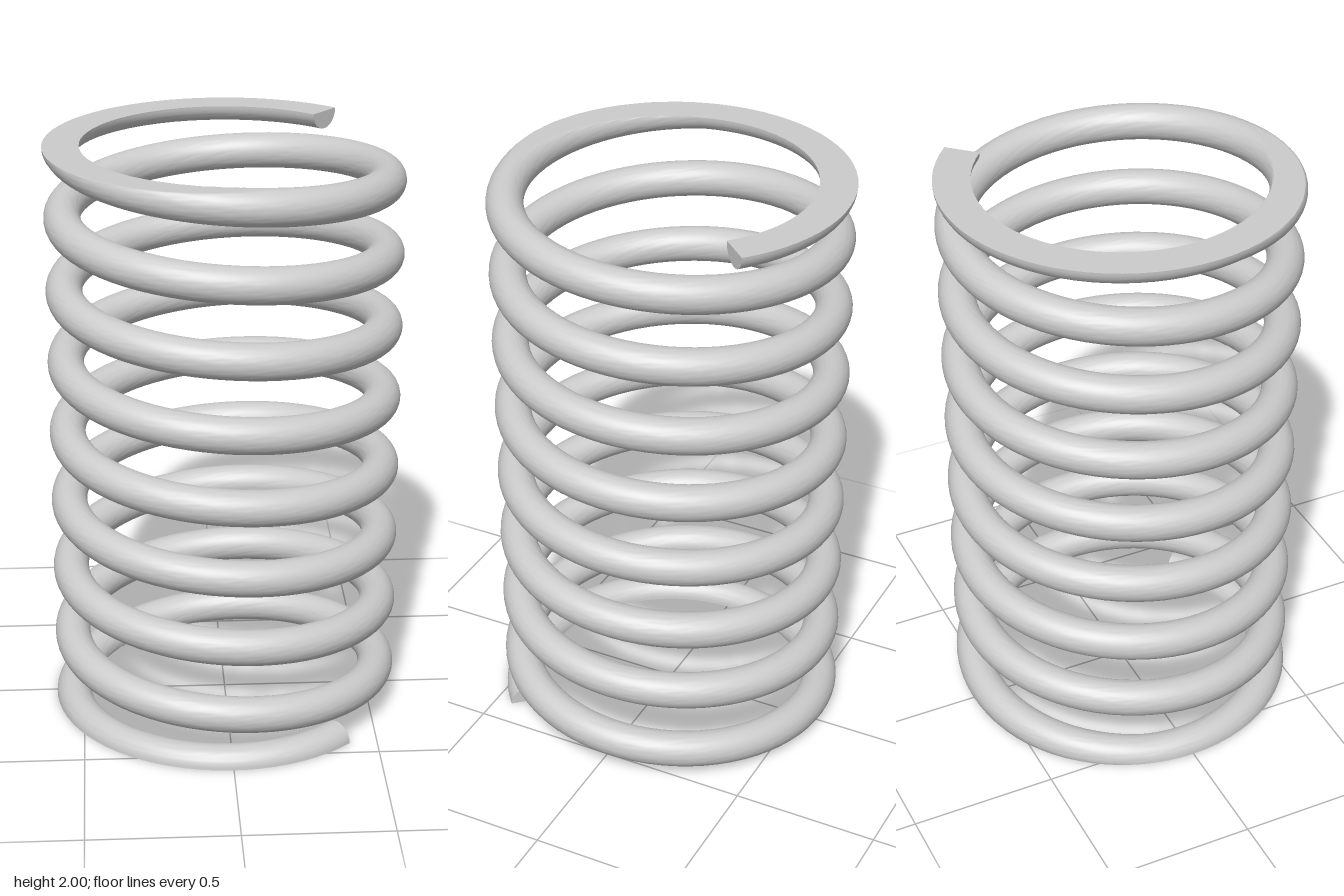
import * as THREE from 'three';
import { toCreasedNormals } from 'three/addons/utils/BufferGeometryUtils.js';

const HEIGHT = 2;
const COIL_R = 0.536;      // centre line radius
const WIRE_R = 0.061;
const PITCH = 0.2525;      // rise per turn of the active coils
const START = THREE.MathUtils.degToRad(47.2);
const END = 9 * Math.PI * 2 - START;
const MID = 9 * Math.PI;   // angle at half height
const RINGS = 640;
const SIDES = 48;

// Centre line height: a steady helix with flat closed coils at both ends
function wireHeight(a) {
  const y = HEIGHT / 2 + PITCH * (a - MID) / (Math.PI * 2);
  return THREE.MathUtils.clamp(y, 0, HEIGHT);
}

// Round wire swept along the helix, ground flat at bottom and top
function springGeometry() {
  const pos = [];
  const index = [];
  for (let i = 0; i <= RINGS; i++) {
    const a = START + (END - START) * i / RINGS;
    const cy = wireHeight(a);
    for (let k = 0; k < SIDES; k++) {
      const t = k / SIDES * Math.PI * 2;
      const rad = COIL_R + WIRE_R * Math.cos(t);
      const y = THREE.MathUtils.clamp(cy + WIRE_R * Math.sin(t), 0, HEIGHT);
      pos.push(rad * Math.cos(a), y, rad * Math.sin(a));
    }
  }
  for (let i = 0; i < RINGS; i++) {
    for (let k = 0; k < SIDES; k++) {
      const p = i * SIDES + k;
      const q = i * SIDES + (k + 1) % SIDES;
      index.push(p, q, p + SIDES, q, q + SIDES, p + SIDES);
    }
  }
  // Half-round cut faces at the two wire ends
  const cap = (ring, a, y, flip) => {
    const c = pos.length / 3;
    pos.push(COIL_R * Math.cos(a), y, COIL_R * Math.sin(a));
    for (let k = 0; k < SIDES; k++) {
      const p = ring * SIDES + k;
      const q = ring * SIDES + (k + 1) % SIDES;
      if (flip) index.push(c, q, p);
      else index.push(c, p, q);
    }
  };
  cap(0, START, WIRE_R * 0.4, true);
  cap(RINGS, END, HEIGHT - WIRE_R * 0.4, false);

  const geo = new THREE.BufferGeometry();
  geo.setAttribute('position', new THREE.Float32BufferAttribute(pos, 3));
  geo.setIndex(index);
  return toCreasedNormals(geo, 0.6);
}

export function createModel() {
  const group = new THREE.Group();
  group.name = 'compressionSpring';
  const coil = new THREE.Mesh(
    springGeometry(),
    new THREE.MeshStandardMaterial({ color: 0xcccccc })
  );
  coil.name = 'coiledWire';
  group.add(coil);
  return group;
}
